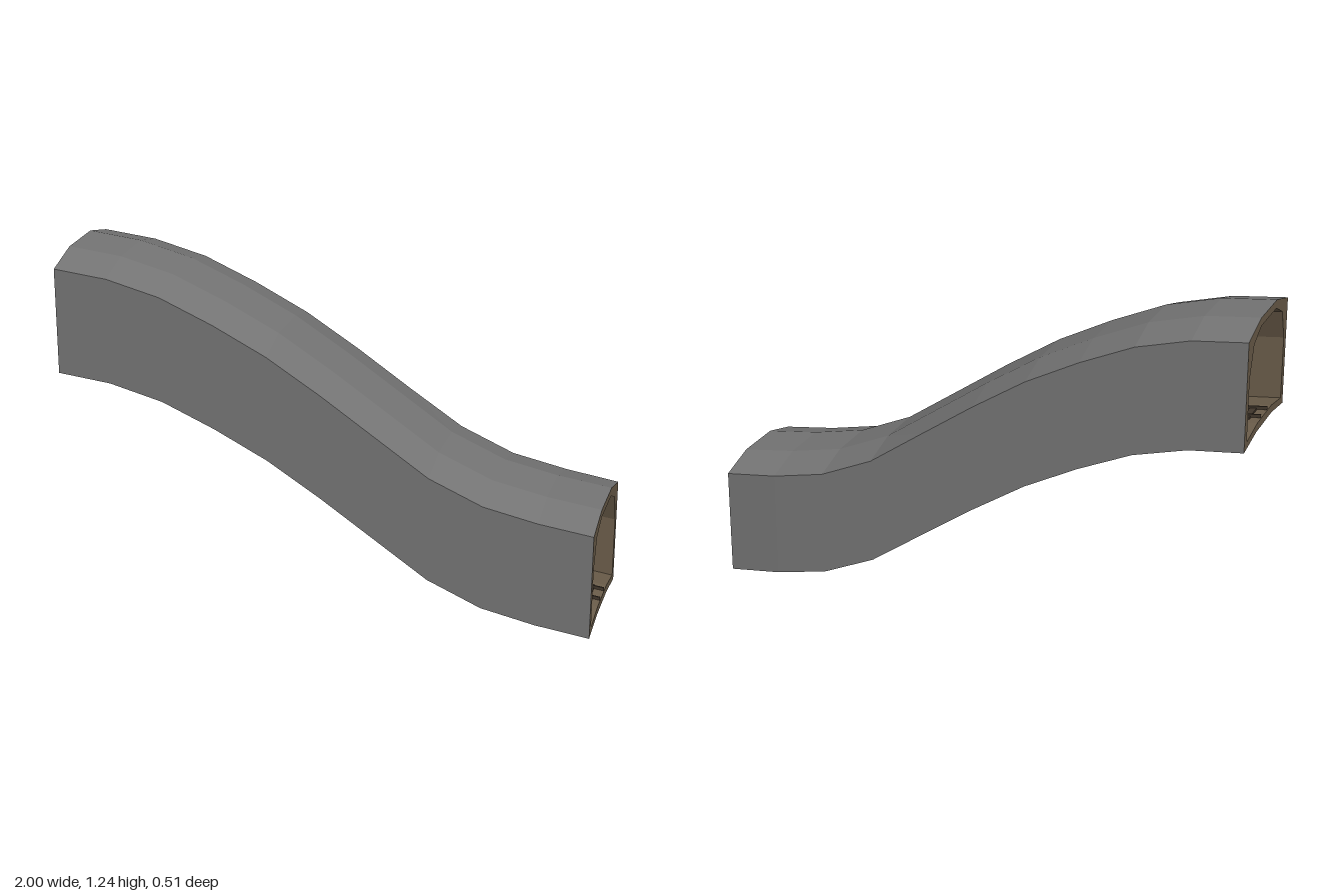
import * as THREE from 'three';

const mat = (name, color, side = THREE.FrontSide) => {
  const m = new THREE.MeshStandardMaterial({ color, side, flatShading: true });
  m.name = name;
  return m;
};

// Floor height of the tunnel at eleven stations from x = -1 to x = 1
const BASE = [0.80, 0.78, 0.73, 0.645, 0.545, 0.42, 0.285, 0.15, 0.065, 0.025, 0];
const Z0 = 0.004;
const baseAt = (x) => {
  const t = Math.min(Math.max((x + 1) * 5, 0), 10);
  const i = Math.min(Math.floor(t), 9);
  return BASE[i] + (BASE[i + 1] - BASE[i]) * (t - i);
};
const slopeAt = (x) => Math.atan2(baseAt(x + 0.02) - baseAt(x - 0.02), 0.04);

// Sweeps a [z, y] profile along the descending floor line
function sweep(profile, shift = () => 0) {
  const pos = [];
  const point = (i, j) => {
    const [z, y] = profile[j];
    return [-1 + i * 0.2, BASE[i] + y, z + Z0 + shift(i, z)];
  };
  for (let i = 0; i < BASE.length - 1; i++) {
    for (let j = 0; j < profile.length - 1; j++) {
      const a = point(i, j), b = point(i + 1, j), c = point(i + 1, j + 1), d = point(i, j + 1);
      pos.push(...a, ...b, ...d, ...b, ...c, ...d);
    }
  }
  const g = new THREE.BufferGeometry();
  g.setAttribute('position', new THREE.Float32BufferAttribute(pos, 3));
  g.computeVertexNormals();
  return g;
}

const shapeOf = (pts) => new THREE.Shape(pts.map(([z, y]) => new THREE.Vector2(z, y)));
const mirror = (half) => [...half, ...half.map(([z, y]) => [-z, y]).reverse()];

export function createModel() {
  const group = new THREE.Group();
  const rock = mat('grey rock', 0x747474, THREE.DoubleSide);
  const earth = mat('brown earth', 0x6b5d4a, THREE.DoubleSide);
  const support = mat('pale support', 0xc4c4c4);
  const wood = mat('dark wood', 0x41372c);
  const add = (name, geometry, material) => {
    const mesh = new THREE.Mesh(geometry, material);
    mesh.name = name;
    group.add(mesh);
    return mesh;
  };

  // Outer walls and roof, open underneath, with a slight bulge low on the back
  const outer = mirror([[0.25, 0], [0.25, 0.4], [0.1, 0.44]]);
  add('outerShell', sweep(outer, (i, z) => (z < -0.2 && i >= 7 && i <= 9 ? -0.008 : 0)), rock);

  // Inner lining: walls, ceiling and slightly raised floor
  const arch = mirror([[-0.22, 0.03], [-0.22, 0.26], [-0.18, 0.37], [-0.095, 0.41]]);
  const inner = [...arch, [0.09, 0.05], [-0.09, 0.05]];
  add('innerLining', sweep([...inner, inner[0]]), earth);

  // Rims closing the gap between shell and lining at both mouths
  for (const side of [-1, 1]) {
    const rim = shapeOf([...outer, [-0.1, 0.02], [0.1, 0.02]]);
    rim.holes.push(shapeOf(inner));
    const mesh = add(side > 0 ? 'lowerRim' : 'upperRim', new THREE.ShapeGeometry(rim), earth);
    mesh.rotation.y = side * Math.PI / 2;
    mesh.position.set(side, baseAt(side), Z0);
  }

  // Support arches
  const frame = shapeOf([
    ...mirror([[0.215, 0.025], [0.18, 0.36], [0.09, 0.405]]),
    ...mirror([[-0.188, 0.025], [-0.155, 0.33], [-0.085, 0.38]]),
  ]);
  const frameGeo = new THREE.ExtrudeGeometry(frame, { depth: 0.04, bevelEnabled: false });
  frameGeo.translate(0, 0, -0.02).rotateY(Math.PI / 2);
  for (const x of [-0.84, -0.28, 0.29, 0.86]) {
    add('supportArch', frameGeo, support).position.set(x, baseAt(x), Z0);
  }

  // Rails
  for (const z of [-0.04, 0.04]) {
    const w = 0.003;
    const rail = [[z + w, 0.052], [z + w, 0.064], [z - w, 0.064], [z - w, 0.052], [z + w, 0.052]];
    add('rail', sweep(rail), wood);
  }

  // Cross ties
  const tieGeo = new THREE.BoxGeometry(0.025, 0.012, 0.12);
  for (let i = 0; i < 26; i++) {
    const x = 0.95 - i * 0.076;
    const tie = add('crossTie', tieGeo, wood);
    tie.position.set(x, baseAt(x) + 0.051, Z0);
    tie.rotation.z = slopeAt(x);
  }
  return group;
}
